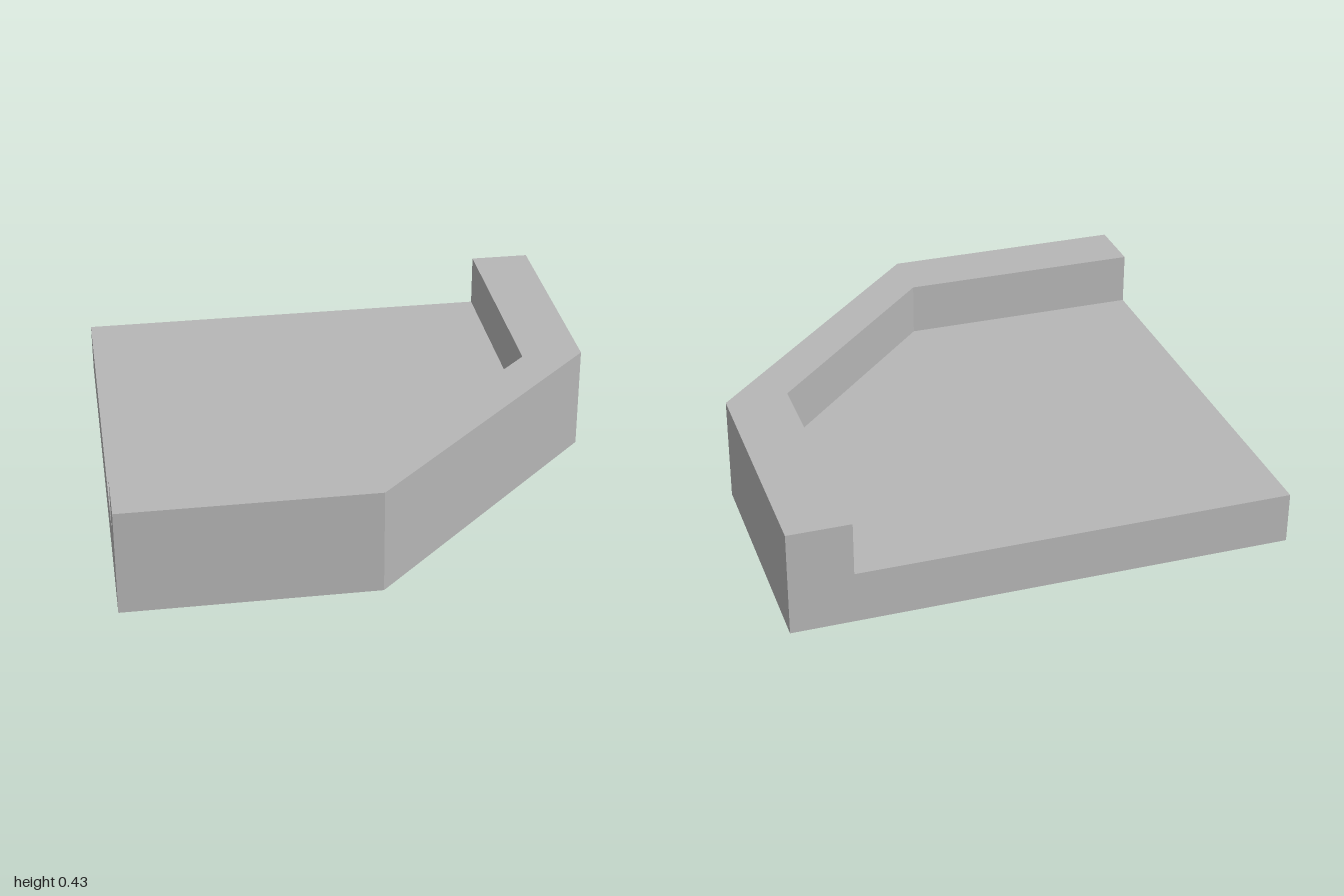
import * as THREE from 'three';

const FLOOR_TOP = 0.21;
const RIM_TOP = 0.428;

// Extrudes an outline of [x, z] points upward from y0 to y1.
function prism(name, outline, y0, y1, material) {
  const shape = new THREE.Shape(outline.map(([x, z]) => new THREE.Vector2(x, -z)));
  const geometry = new THREE.ExtrudeGeometry(shape, { depth: y1 - y0, bevelEnabled: false });
  geometry.rotateX(-Math.PI / 2).translate(0, y0, 0);
  const mesh = new THREE.Mesh(geometry, material);
  mesh.name = name;
  return mesh;
}

export function createModel() {
  const group = new THREE.Group();
  group.name = 'cornerPlatform';
  const grey = new THREE.MeshStandardMaterial({ color: 0xb6b6b6 });
  grey.name = 'light grey';

  // Outer and inner edges of the parapet, from the front round to the back
  const outer = [[-1, 1], [0, 1], [1, 0], [1, -1]];
  const inner = [[-1, 0.75], [0, 0.75], [0.75, 0], [0.75, -1]];

  // Square floor slab with one cut corner
  group.add(prism('floorSlab', [...outer, [-1, -1]], 0, FLOOR_TOP, grey));

  // Raised wall along the front, the cut corner and the left side
  group.add(prism('parapet', [...outer, ...inner.slice().reverse()], FLOOR_TOP, RIM_TOP, grey));

  return group;
}
